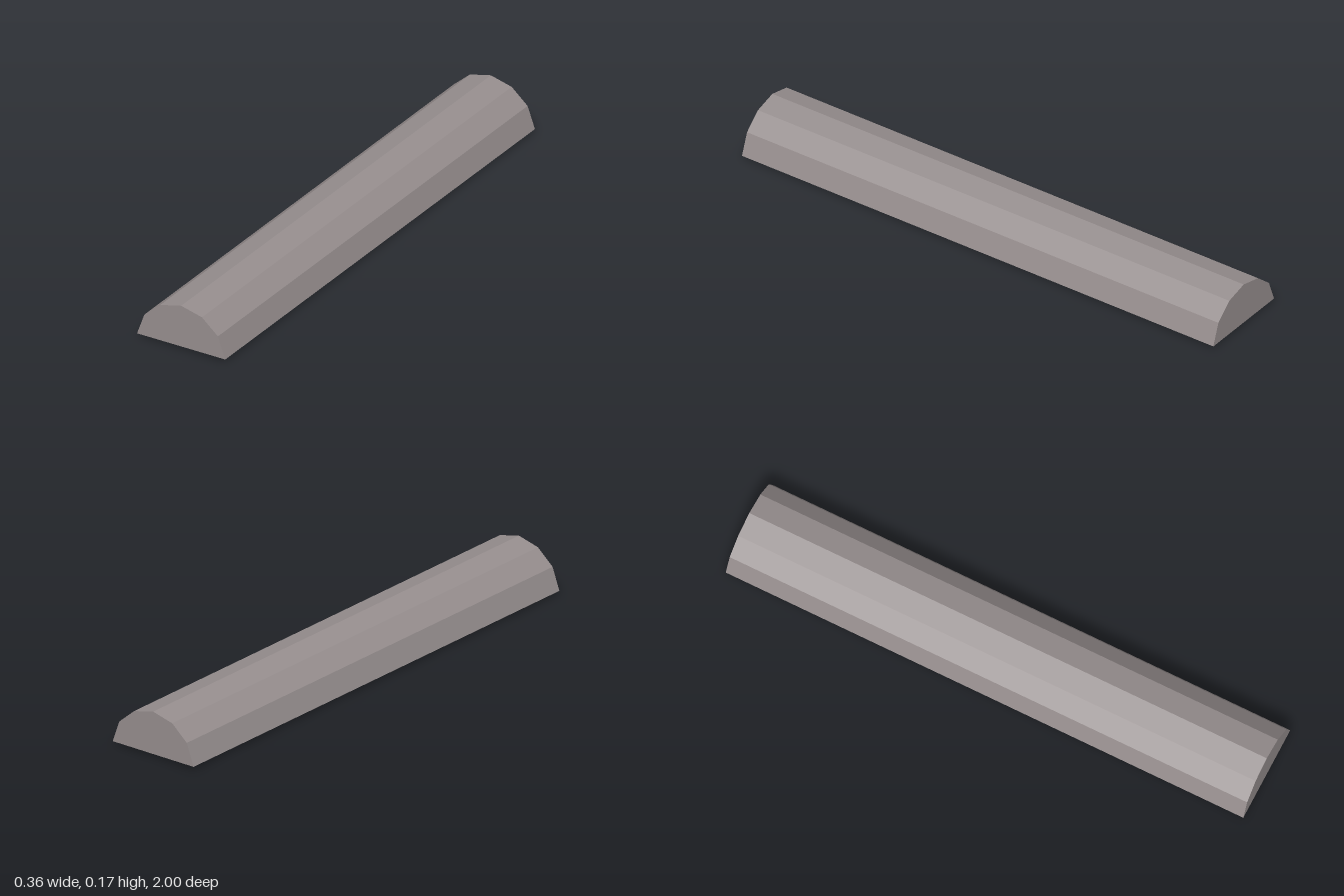
import * as THREE from 'three';

// Half-round housing profile, from -x to +x
const PROFILE = [
  [-0.18, 0.01], [-0.15, 0.092], [-0.085, 0.148], [0, 0.169],
  [0.085, 0.148], [0.15, 0.092], [0.18, 0.01],
];
const HALF_LENGTH = 1;
const TUBE_END = 0.957;
const TUBE_RADIUS = 0.027;

function rod(name, radius, z0, z1, material) {
  const geometry = new THREE.CylinderGeometry(radius, radius, z1 - z0, 20);
  geometry.rotateX(Math.PI / 2);
  geometry.translate(0, 0, (z0 + z1) / 2);
  const mesh = new THREE.Mesh(geometry, material);
  mesh.name = name;
  return mesh;
}

export function createModel() {
  const model = new THREE.Group();
  model.name = 'twinTubeLight';

  const housingMaterial = new THREE.MeshStandardMaterial({
    color: 0x968e8e, flatShading: true, side: THREE.DoubleSide,
  });
  const tubeMaterial = new THREE.MeshStandardMaterial({ color: 0xcccccc });
  const socketMaterial = new THREE.MeshStandardMaterial({ color: 0x151515 });

  // Thin faceted cover, open underneath: a plane bent along the profile
  const segments = PROFILE.length - 1;
  const coverGeometry = new THREE.PlaneGeometry(segments, 2 * HALF_LENGTH, segments, 1);
  const position = coverGeometry.attributes.position;
  for (let i = 0; i < position.count; i++) {
    const [x, y] = PROFILE[Math.round(position.getX(i) + segments / 2)];
    position.setXYZ(i, x, y, -position.getY(i));
  }
  coverGeometry.computeVertexNormals();
  const cover = new THREE.Mesh(coverGeometry, housingMaterial);
  cover.name = 'cover';
  model.add(cover);

  // Flat plates closing both ends
  const endShape = new THREE.Shape(PROFILE.map(([x, y]) => new THREE.Vector2(x, y)));
  for (const side of [1, -1]) {
    const plate = new THREE.Mesh(new THREE.ShapeGeometry(endShape), housingMaterial);
    plate.name = side > 0 ? 'frontEndPlate' : 'backEndPlate';
    plate.position.z = side * HALF_LENGTH;
    if (side < 0) plate.rotation.y = Math.PI;
    model.add(plate);
  }

  // Two lamps, each held by a dark socket at both ends
  for (const [name, x] of [['rightLamp', -0.085], ['leftLamp', 0.098]]) {
    const lamp = new THREE.Group();
    lamp.name = name;
    lamp.position.set(x, TUBE_RADIUS, 0);
    lamp.add(
      rod('tube', TUBE_RADIUS, -TUBE_END, TUBE_END, tubeMaterial),
      rod('frontSocket', 0.017, TUBE_END, HALF_LENGTH - 0.001, socketMaterial),
      rod('backSocket', 0.017, -HALF_LENGTH + 0.001, -TUBE_END, socketMaterial),
    );
    model.add(lamp);
  }
  return model;
}
